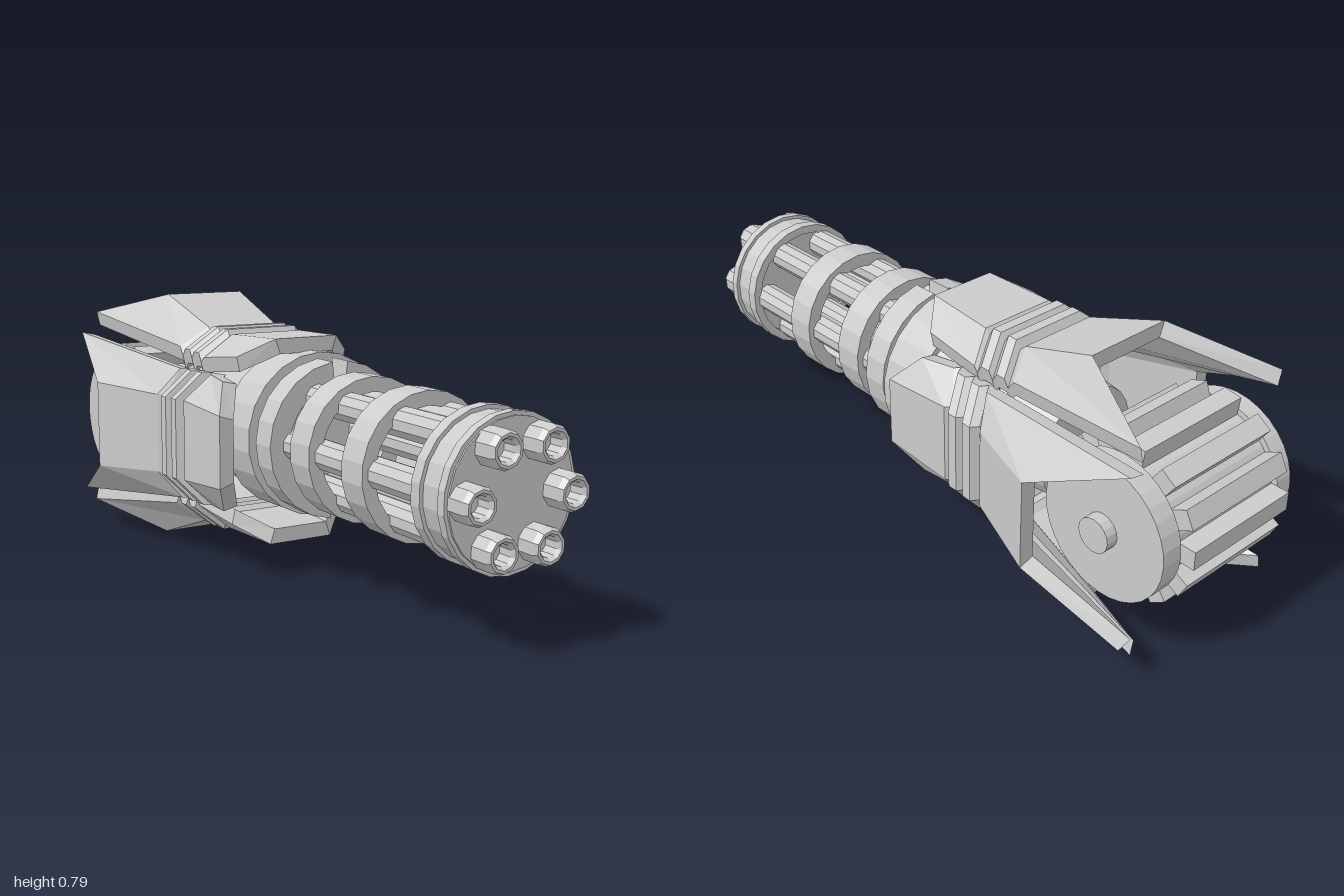
import * as THREE from 'three';

const mat = new THREE.MeshStandardMaterial({ color: 0xcccccc, flatShading: true, side: THREE.DoubleSide });

function add(parent, name, geo, x = 0, y = 0, z = 0) {
  const m = new THREE.Mesh(geo, mat);
  m.name = name;
  m.position.set(x, y, z);
  parent.add(m);
  return m;
}

// Solid cylinder along z between two depths
const rodZ = (r, z0, z1, sides, r2 = r) =>
  new THREE.CylinderGeometry(r2, r, z1 - z0, sides).rotateX(Math.PI / 2).translate(0, 0, (z0 + z1) / 2);

// Rectangular-section ring around z
function ringZ(rIn, rOut, z0, z1, sides) {
  const pts = [[rIn, z0], [rOut, z0], [rOut, z1], [rIn, z1], [rIn, z0]].map(p => new THREE.Vector2(...p));
  return new THREE.LatheGeometry(pts, sides).rotateX(Math.PI / 2);
}

// Open arc band around z, with capped ends
function arcBand(rIn, rOut, z0, z1, a0, a1, steps) {
  const pts = [];
  for (let i = 0; i <= steps; i++) {
    const a = a0 + (a1 - a0) * i / steps;
    pts.push(new THREE.Vector2(rOut * Math.cos(a), rOut * Math.sin(a)));
  }
  for (let i = steps; i >= 0; i--) {
    const a = a0 + (a1 - a0) * i / steps;
    pts.push(new THREE.Vector2(rIn * Math.cos(a), rIn * Math.sin(a)));
  }
  return new THREE.ExtrudeGeometry(new THREE.Shape(pts), { depth: z1 - z0, bevelEnabled: false }).translate(0, 0, z0);
}

// Armour shell: each row is [flat z, flat half width, flat height, wing z, wing half width, wing height]
function armourGeometry(bend) {
  const t = 0.045;
  const rows = [[0.02, 0.105, 0.305, -0.06, 0.19, 0.25], [-0.21, 0.12, 0.3, -0.21 + bend, 0.197, 0.23]];
  // Two raised ridges with grooves beside them
  const ridges = [[-0.225, 0.285], [-0.24, 0.312], [-0.27, 0.312], [-0.285, 0.29],
    [-0.3, 0.315], [-0.33, 0.315], [-0.345, 0.292]];
  for (const [z, h] of ridges) rows.push([z, 0.12, h, z + bend, 0.2, h - 0.07]);
  // Flared rear with long swept tips
  rows.push([-0.365, 0.12, 0.31, -0.365 + bend, 0.2, 0.25]);
  rows.push([-0.615, 0.134, 0.397, -0.9, 0.265, 0.325]);
  const loops = rows.map(([zf, f, h, zw, w, wh]) => [
    [-w, wh, zw], [-f, h, zf], [f, h, zf], [w, wh, zw],
    [w - 0.01, wh - t, zw], [f - 0.015, h - t, zf], [-f + 0.015, h - t, zf], [-w + 0.01, wh - t, zw]]);
  const pos = [];
  const quad = (a, b, c, d) => pos.push(...a, ...b, ...c, ...a, ...c, ...d);
  for (let r = 0; r < loops.length - 1; r++) {
    for (let i = 0; i < 8; i++) {
      const j = (i + 1) % 8;
      quad(loops[r][i], loops[r][j], loops[r + 1][j], loops[r + 1][i]);
    }
  }
  const first = loops[0], last = loops[loops.length - 1];
  for (let i = 0; i < 3; i++) {
    quad(first[i + 1], first[i], first[7 - i], first[6 - i]);
    quad(last[i], last[i + 1], last[6 - i], last[7 - i]);
  }
  const g = new THREE.BufferGeometry();
  g.setAttribute('position', new THREE.Float32BufferAttribute(pos, 3));
  g.computeVertexNormals();
  return g;
}

export function createModel() {
  const model = new THREE.Group();
  model.name = 'rotaryCannon';

  // Barrel cluster, pitched very slightly down
  const cluster = new THREE.Group();
  cluster.name = 'barrelCluster';
  cluster.position.set(0.03, 0.425, 0);
  cluster.rotation.x = 0.022;
  model.add(cluster);
  for (let i = 0; i < 6; i++) {
    const a = i * Math.PI / 3;
    const x = 0.146 * Math.cos(a), y = 0.146 * Math.sin(a);
    add(cluster, 'barrel', rodZ(0.043, 0.03, 0.95, 10), x, y);
    // Hollow muzzle with a bevelled lip
    const lip = [[0.028, 0.93], [0.028, 0.99], [0.036, 1.0], [0.044, 1.0], [0.051, 0.985], [0.051, 0.93]]
      .map(p => new THREE.Vector2(...p));
    add(cluster, 'muzzle', new THREE.LatheGeometry(lip, 10).rotateX(Math.PI / 2).scale(1, 1, -1)
      .translate(0, 0, 0).scale(1, 1, lipSign()), x, y);
  }
  add(cluster, 'frontDisc', rodZ(0.195, 0.81, 0.935, 22));
  add(cluster, 'frontFlange', ringZ(0.18, 0.206, 0.905, 0.93, 22));
  add(cluster, 'rearFlange', ringZ(0.18, 0.206, 0.8, 0.835, 22));
  add(cluster, 'middleBand', ringZ(0.165, 0.206, 0.5, 0.595, 22));
  add(cluster, 'innerBand', ringZ(0.165, 0.208, 0.25, 0.345, 22));
  // Split collar with gaps at top and bottom
  for (const start of [-Math.PI / 2, Math.PI / 2]) {
    add(cluster, 'splitCollar', arcBand(0.165, 0.23, 0.1, 0.18, start + 0.11, start + Math.PI - 0.11, 10));
  }

  // Central body behind the barrels
  const body = new THREE.Group();
  body.name = 'body';
  body.position.set(0.033, 0.423, 0);
  model.add(body);
  add(body, 'mountingHub', rodZ(0.243, -0.07, 0.075, 22));
  add(body, 'core', rodZ(0.17, -0.5, -0.07, 22, 0.225));

  // Four armour panels around the body: angle, sideways shift, depth shift, ridge bend
  const panels = [['topArmour', 0, 0.02, 0, -0.04], ['rightArmour', 1, 0, 0.06, 0.04],
    ['bottomArmour', 2, 0, 0, -0.04], ['leftArmour', 3, 0, -0.01, 0.04]];
  for (const [name, turn, dx, dz, bend] of panels) {
    const p = add(model, name, armourGeometry(bend), dx, 0.4, dz);
    p.rotation.z = turn * Math.PI / 2;
  }

  // Toothed drum at the rear, turning about x
  const drum = new THREE.Group();
  drum.name = 'ammoDrum';
  drum.position.set(0, 0.39, -0.763);
  model.add(drum);
  const rodX = (r, x0, x1, sides) =>
    new THREE.CylinderGeometry(r, r, x1 - x0, sides).rotateZ(Math.PI / 2).translate((x0 + x1) / 2, 0, 0);
  add(drum, 'drumCore', rodX(0.185, -0.2, 0.18, 26));
  add(drum, 'rightDisc', rodX(0.202, -0.255, -0.2, 32));
  add(drum, 'leftDisc', rodX(0.202, 0.18, 0.245, 32));
  add(drum, 'rightAxle', rodX(0.05, -0.285, -0.25, 16));
  add(drum, 'leftAxle', rodX(0.05, 0.24, 0.28, 16));
  for (let i = 0; i < 13; i++) {
    const tooth = add(drum, 'tooth', new THREE.BoxGeometry(0.37, 0.055, 0.065).translate(-0.015, 0, -0.204));
    tooth.rotation.x = i * Math.PI * 2 / 13;
  }
  return model;
}

// Lathe profiles turned onto z already point forward after one flip back
function lipSign() { return -1; }
